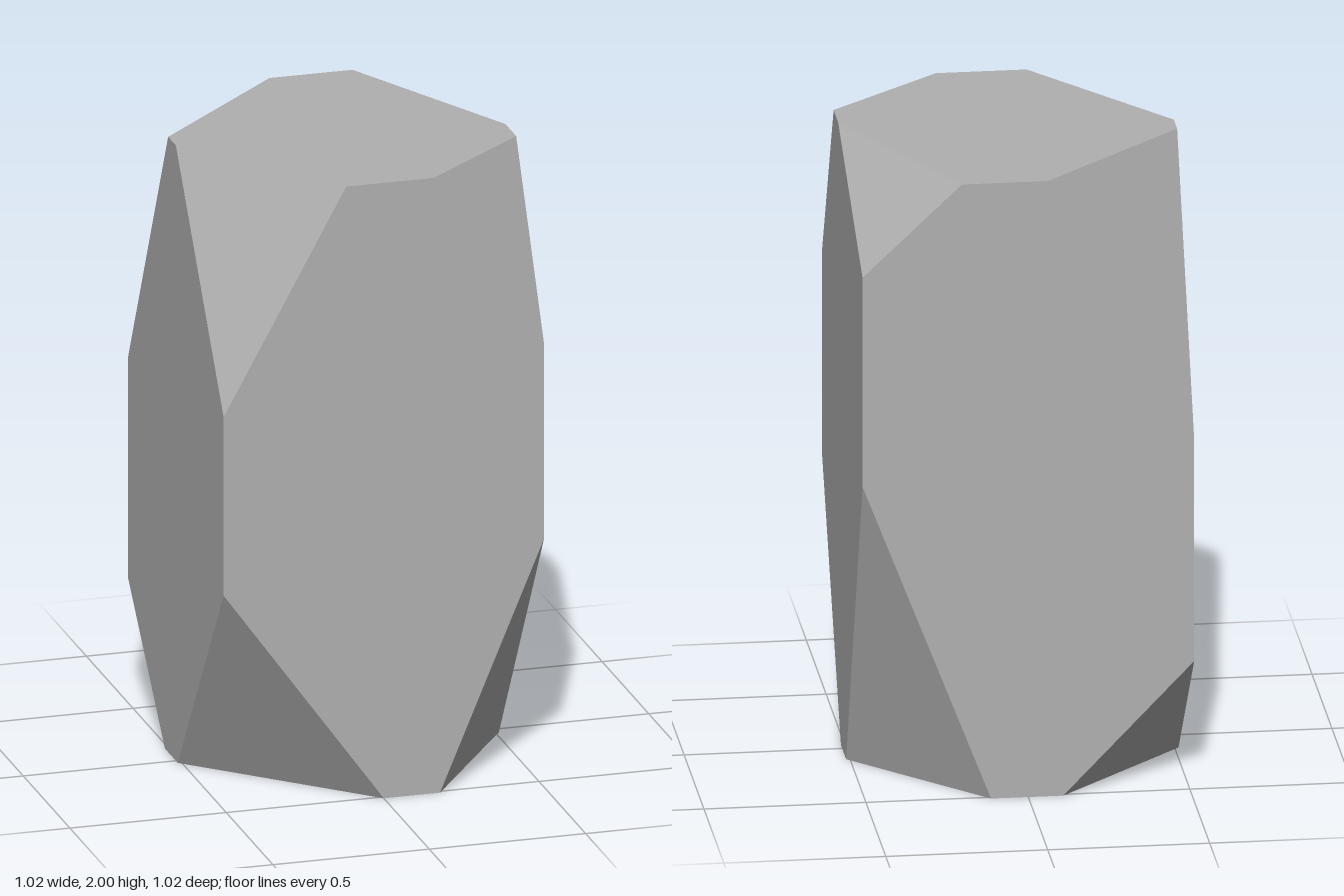
import * as THREE from 'three';
import { ConvexGeometry } from 'three/addons/geometries/ConvexGeometry.js';

// Half width of the block and its height
const H = 0.512;
const TOP = 2;

// Each corner of the block: its signs in x, y, z, then where the slanted cut
// meets the three edges that run along x, y and z
const corners = [
  [-1, 1, 1, -0.12, 1.29, 0.0],
  [1, 1, 1, 0.16, 1.43, 0.215],
  [1, 1, -1, 0.205, 1.71, 0.1],
  [-1, 1, -1, -0.06, 1.14, -0.083],
  [-1, -1, 1, 0.0, 0.71, 0.02],
  [1, -1, 1, 0.18, 0.79, 0.03],
  [1, -1, -1, 0.115, 1.03, -0.1],
  [-1, -1, -1, -0.108, 0.42, -0.117],
];

export function createModel() {
  const group = new THREE.Group();
  group.name = 'rock';

  const stone = new THREE.MeshStandardMaterial({ color: 0xb0b0b0, flatShading: true });
  stone.name = 'stone grey';

  // Three cut points replace every corner; their hull is the faceted rock
  const points = [];
  for (const [sx, sy, sz, cutX, cutY, cutZ] of corners) {
    const x = sx * H;
    const y = sy > 0 ? TOP : 0;
    const z = sz * H;
    points.push(
      new THREE.Vector3(cutX, y, z),
      new THREE.Vector3(x, cutY, z),
      new THREE.Vector3(x, y, cutZ),
    );
  }

  const rock = new THREE.Mesh(new ConvexGeometry(points), stone);
  rock.name = 'facetedStone';
  group.add(rock);
  return group;
}
